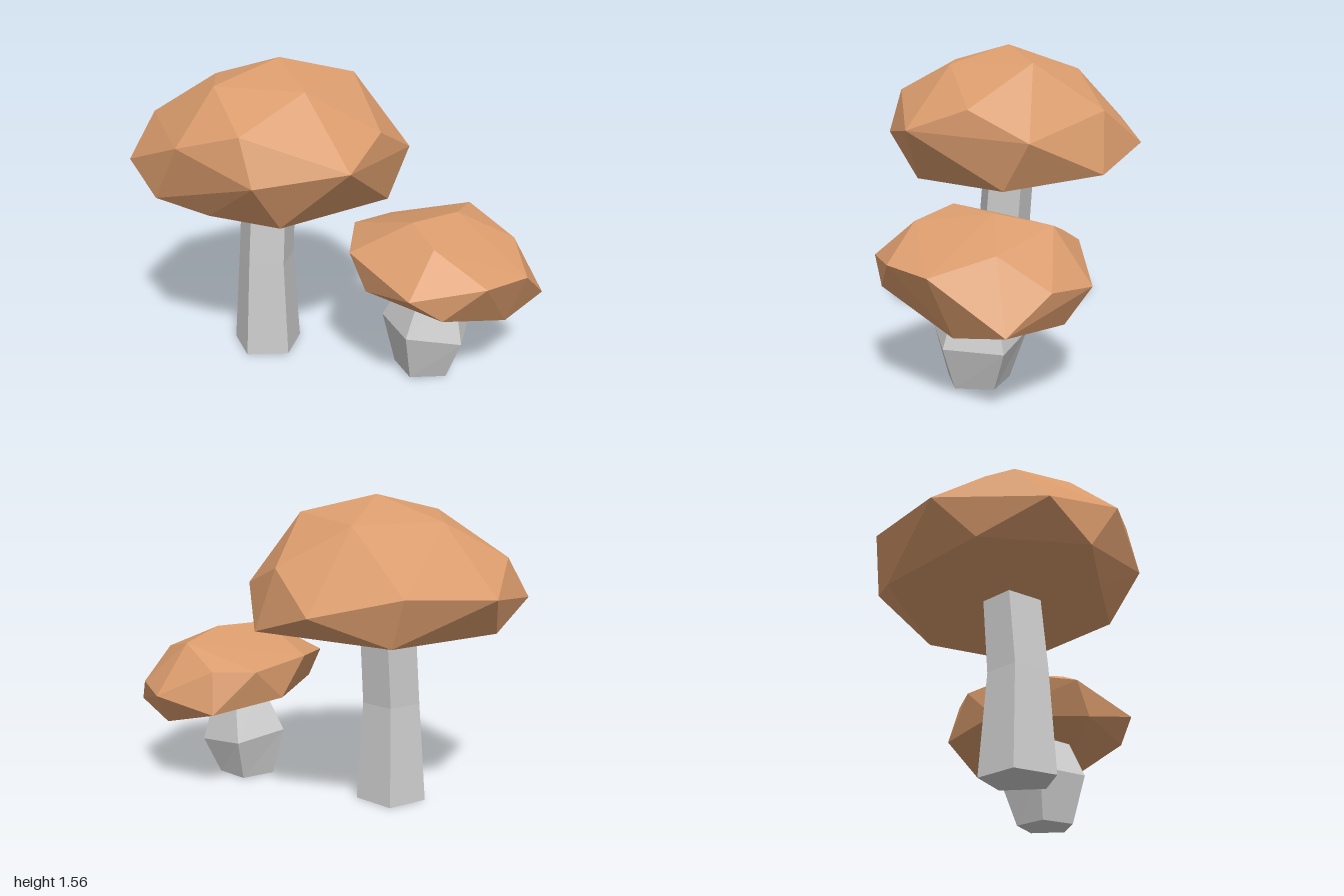
import * as THREE from 'three';
import { ConvexGeometry } from 'three/addons/geometries/ConvexGeometry.js';

const grey = new THREE.MeshStandardMaterial({ color: 0xcccccc, flatShading: true });
const brown = new THREE.MeshStandardMaterial({ color: 0xd99b6c, flatShading: true });

// Faceted cap: the hull of its crown, rim and underside corners
function cap(name, corners) {
  const points = corners.map(p => new THREE.Vector3(...p));
  const mesh = new THREE.Mesh(new ConvexGeometry(points), brown);
  mesh.name = name;
  return mesh;
}

// Five-sided stem through rings [x, y, z, radius, tilt along x], bottom to top
function stem(name, rings) {
  const n = rings.length - 1;
  const geo = new THREE.CylinderGeometry(1, 1, n, 5, n, false, -Math.PI / 4);
  const pos = geo.attributes.position;
  for (let i = 0; i < pos.count; i++) {
    const [x, y, z, r, tilt = 0] = rings[Math.round(pos.getY(i) + n / 2)];
    const dx = pos.getX(i) * r;
    pos.setXYZ(i, x + dx, y + tilt * dx, z + pos.getZ(i) * r);
  }
  geo.computeVertexNormals();
  const mesh = new THREE.Mesh(geo, grey);
  mesh.name = name;
  return mesh;
}

export function createModel() {
  const model = new THREE.Group();
  model.name = 'mushrooms';

  const large = new THREE.Group();
  large.name = 'largeMushroom';
  large.add(
    stem('largeStem', [
      [-0.345, 0, -0.095, 0.185],
      [-0.34, 0.51, -0.09, 0.15],
      [-0.31, 0.97, -0.115, 0.145],
    ]),
    cap('largeCap', [
      // crown
      [-0.25, 1.56, -0.09], [0.12, 1.475, -0.07], [-0.19, 1.465, 0.255],
      [-0.59, 1.475, 0.09], [-0.54, 1.44, -0.335], [-0.1, 1.435, -0.425],
      // shoulders
      [-0.52, 1.32, 0.425], [0.165, 1.26, 0.29], [0.25, 1.24, -0.4], [-0.86, 1.27, -0.3],
      // rim
      [-0.29, 1.15, -0.795], [0.12, 1.055, -0.69], [0.35, 0.935, -0.35],
      [0.38, 1.11, 0.06], [-0.04, 1.15, 0.54], [-0.48, 1.1, 0.505],
      [-0.79, 1.23, 0.24], [-1, 1.06, -0.19], [-0.73, 1.12, -0.645],
      // underside
      [-0.34, 0.86, 0.395], [0.25, 0.867, 0.14], [-0.65, 0.875, 0.2],
      [-0.89, 0.93, 0.05], [-0.78, 0.93, -0.45], [-0.25, 0.92, -0.72],
    ]),
  );

  const small = new THREE.Group();
  small.name = 'smallMushroom';
  small.add(
    stem('smallStem', [
      [0.41, 0.005, 0.335, 0.155],
      [0.42, 0.235, 0.335, 0.235, -0.15],
      [0.45, 0.5, 0.34, 0.13, -0.2],
    ]),
    cap('smallCap', [
      // crown
      [0.3, 0.84, 0.41], [0.56, 0.835, 0.31], [0.71, 0.79, 0.085],
      [0.34, 0.78, 0.61], [0.83, 0.71, 0.4], [0.57, 0.68, -0.11],
      // rim
      [0.57, 0.47, -0.17], [0.86, 0.54, -0.035], [0.95, 0.56, 0.2],
      [0.995, 0.405, 0.425], [0.78, 0.63, 0.69], [0.54, 0.64, 0.795],
      [0.18, 0.6, 0.76], [0, 0.69, 0.36], [0.1, 0.72, 0.06], [0.35, 0.68, -0.13],
      // underside
      [0.34, 0.49, 0.77], [0.74, 0.345, 0.565], [0.82, 0.37, 0.08],
      [0.06, 0.52, 0.45], [0.22, 0.52, -0.03],
    ]),
  );

  model.add(large, small);
  return model;
}
